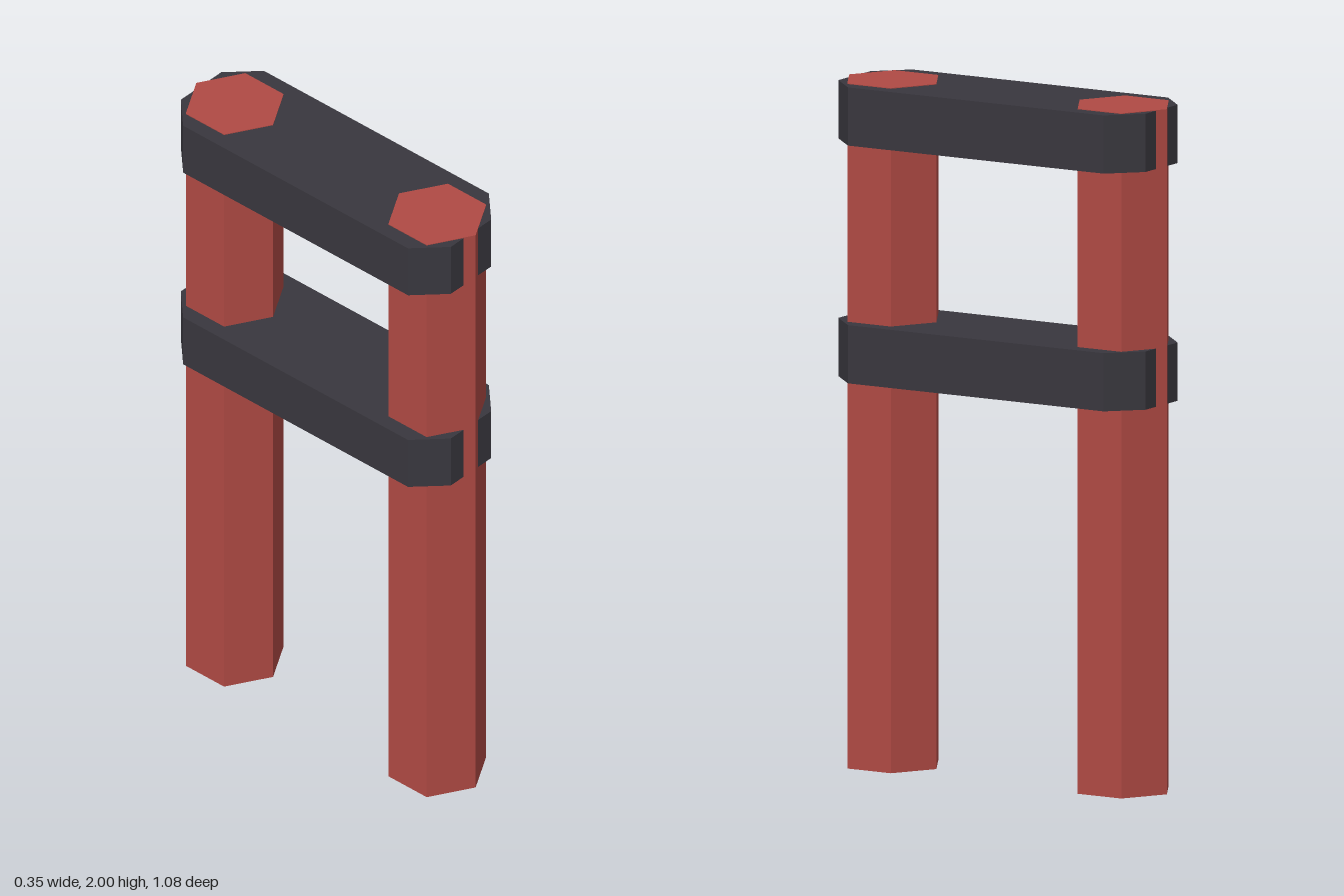
import * as THREE from 'three';

const red = new THREE.MeshStandardMaterial({ color: 0xb04a44 });
red.name = 'red post';
const charcoal = new THREE.MeshStandardMaterial({ color: 0x39373e });
charcoal.name = 'charcoal bar';

// Plank with chamfered corners, lying along z, bottom at y = 0
function plankGeometry(halfWidth, halfLength, chamfer, height) {
  const w = halfWidth, l = halfLength, c = chamfer;
  const outline = [[w, l - c], [w - c, l], [c - w, l], [-w, l - c],
    [-w, c - l], [c - w, -l], [w - c, -l], [w, c - l]];
  const shape = new THREE.Shape(outline.map(([x, z]) => new THREE.Vector2(x, z)));
  return new THREE.ExtrudeGeometry(shape, { depth: height, bevelEnabled: false }).rotateX(-Math.PI / 2);
}

export function createModel() {
  const model = new THREE.Group();
  model.name = 'twinPostFrame';

  // Two hexagonal posts, corners pointing front and back
  const postGeometry = new THREE.CylinderGeometry(0.148, 0.148, 2, 6).toNonIndexed();
  postGeometry.computeVertexNormals();
  for (const [name, z] of [['frontPost', 0.391], ['backPost', -0.391]]) {
    const post = new THREE.Mesh(postGeometry, red);
    post.name = name;
    post.position.set(0, 1, z);
    model.add(post);
  }

  // Two crossbars; the post tops show just proud of the upper one
  const barGeometry = plankGeometry(0.174, 0.521, 0.087, 0.17);
  for (const [name, y] of [['upperBar', 1.828], ['lowerBar', 1.134]]) {
    const bar = new THREE.Mesh(barGeometry, charcoal);
    bar.name = name;
    bar.position.y = y;
    model.add(bar);
  }
  return model;
}
